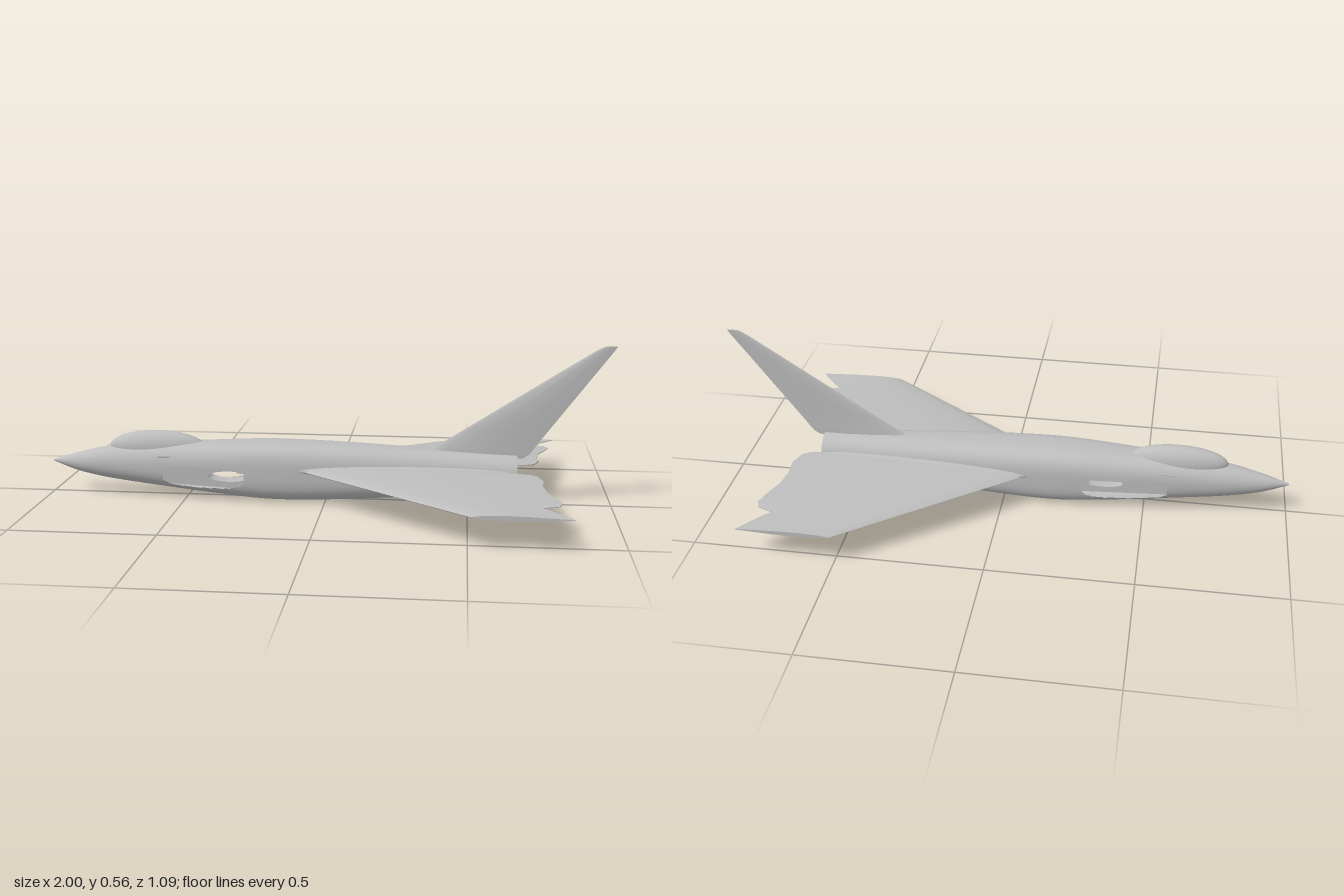
import * as THREE from 'three';
import { toCreasedNormals } from 'three/addons/utils/BufferGeometryUtils.js';

const greyMetal = new THREE.MeshStandardMaterial({ color: 0xbdbdbd, side: THREE.DoubleSide });
greyMetal.name = 'greyMetal';

// Joins closed cross-section rings into a skin; skip() leaves openings
function loft(rings, { caps = false, skip = () => false } = {}) {
  const n = rings[0].length;
  const points = rings.flat();
  const index = [];
  for (let i = 0; i < rings.length - 1; i++) {
    for (let j = 0; j < n; j++) {
      const a = i * n + j, b = i * n + ((j + 1) % n), c = a + n, d = b + n;
      const centre = points[a].clone().add(points[d]).multiplyScalar(0.5);
      if (!skip(centre)) index.push(a, c, b, b, c, d);
    }
  }
  if (caps) {
    const last = (rings.length - 1) * n;
    for (let j = 1; j < n - 1; j++) {
      index.push(0, j, j + 1, last, last + j + 1, last + j);
    }
  }
  const geometry = new THREE.BufferGeometry().setFromPoints(points);
  geometry.setIndex(index);
  geometry.computeVertexNormals();
  return geometry;
}

// Lens-shaped section: fractions along the chord and half thickness
const FOIL = [[0, 0], [0.02, 0.3], [0.1, 0.7], [0.3, 1], [0.6, 0.8], [1, 0.12]];
const foilLoop = [...FOIL, ...FOIL.slice(1).reverse().map(([u, t]) => [u, -t])];

// Each station: span, leading x, trailing x, half thickness
function blade(stations, place) {
  const rings = stations.map(([span, lead, trail, half]) =>
    foilLoop.map(([u, t]) => place(lead + u * (trail - lead), span, t * half)));
  return toCreasedNormals(loft(rings, { caps: true }), 0.6);
}

// Fuselage skin from stations: x, bottom, top, half width, squareness
function fuselageGeometry() {
  const stations = [
    [-1, 0.112, 0.118, 0.003, 2],
    [-0.9, 0.078, 0.148, 0.032, 2],
    [-0.78, 0.055, 0.174, 0.053, 2.1],
    [-0.6, 0.035, 0.19, 0.071, 2.4],
    [-0.4, 0.016, 0.201, 0.088, 2.8],
    [-0.2, 0.002, 0.208, 0.099, 3.1],
    [0, 0.005, 0.205, 0.098, 3],
    [0.2, 0.015, 0.198, 0.09, 2.7],
    [0.45, 0.03, 0.186, 0.077, 2.3],
    [0.67, 0.042, 0.175, 0.065, 2],
  ];
  const heights = new THREE.CatmullRomCurve3(
    stations.map(([x, low, high]) => new THREE.Vector3(x, low, high)), false, 'catmullrom');
  const widths = new THREE.CatmullRomCurve3(
    stations.map(([x, , , half, power]) => new THREE.Vector3(x, half, power)), false, 'catmullrom');
  const power = (v, p) => Math.sign(v) * Math.abs(v) ** (2 / p);
  const lengthSteps = 220, sides = 96, rings = [];
  for (let i = 0; i <= lengthSteps; i++) {
    const { x, y: low, z: high } = heights.getPoint(i / lengthSteps);
    const { y: half, z: p } = widths.getPoint(i / lengthSteps);
    const ring = [];
    for (let j = 0; j < sides; j++) {
      const a = (j / sides) * Math.PI * 2;
      ring.push(new THREE.Vector3(
        x,
        (low + high) / 2 + power(Math.sin(a), p) * (high - low) / 2,
        -power(Math.cos(a), p) * half));
    }
    rings.push(ring);
  }
  // Rounded air intake opening on each side
  const inIntake = (c) =>
    Math.abs((c.x + 0.43) / 0.15) ** 2.8 + Math.abs((c.y - 0.085) / 0.04) ** 2.8 < 1;
  return loft(rings, { skip: inIntake });
}

export function createModel() {
  const model = new THREE.Group();
  model.name = 'jetAircraft';
  const add = (name, geometry) => {
    const mesh = new THREE.Mesh(geometry, greyMetal);
    mesh.name = name;
    model.add(mesh);
    return mesh;
  };

  add('fuselage', fuselageGeometry());

  const canopy = add('canopy', new THREE.SphereGeometry(1, 40, 24));
  canopy.scale.set(0.175, 0.06, 0.045);
  canopy.position.set(-0.61, 0.175, 0);

  // Wall between the intakes, with a see-through gap at its rear
  const wall = new THREE.Shape();
  wall.moveTo(-0.62, 0.05).lineTo(-0.24, 0.03).lineTo(-0.24, 0.15).lineTo(-0.62, 0.15).closePath();
  const gap = new THREE.Path();
  gap.absellipse(-0.35, 0.077, 0.072, 0.019, 0, Math.PI * 2);
  wall.holes.push(gap);
  const wallGeometry = new THREE.ExtrudeGeometry(wall, { depth: 0.06, bevelEnabled: false, curveSegments: 20 });
  add('intakeWall', wallGeometry.translate(0, 0, -0.03));

  // Exhaust: a lip narrowing to a recessed end
  const exhaust = new THREE.LatheGeometry(
    [[0.065, 0.67], [0.056, 0.655], [0.05, 0.6], [0.043, 0.54], [0, 0.54]]
      .map(([r, h]) => new THREE.Vector2(r, h)), 40);
  add('exhaust', toCreasedNormals(exhaust.rotateZ(-Math.PI / 2), 0.6)).position.y = 0.1085;

  // Wings: straight swept leading edge, scalloped trailing edge (z, x)
  const trailing = [
    [0.03, 0.66], [0.063, 0.67], [0.07, 0.71], [0.085, 0.735], [0.14, 0.755], [0.2, 0.75],
    [0.27, 0.76], [0.33, 0.785], [0.385, 0.802], [0.415, 0.79], [0.435, 0.738],
    [0.46, 0.762], [0.5, 0.795], [0.545, 0.83],
  ];
  const wingStations = trailing.map(([z, x]) => [
    z,
    -0.08 + (z - 0.1) * (0.59 / 0.445),
    x,
    0.021 - z * 0.023,
  ]);
  for (const [name, side] of [['leftWing', 1], ['rightWing', -1]]) {
    add(name, blade(wingStations, (x, z, t) =>
      new THREE.Vector3(x, 0.125 - z * 0.033 + t, side * z)));
  }

  // Slim fairing along each wing root and a small rail below the canopy
  for (const side of [1, -1]) {
    const fairing = add('wingRootFairing', new THREE.SphereGeometry(1, 24, 12));
    fairing.scale.set(0.38, 0.022, 0.02);
    fairing.position.set(0.29, 0.122, side * 0.084);
    fairing.rotation.y = side * 0.055;

    const rail = add('noseRail', new THREE.CapsuleGeometry(0.003, 0.1, 4, 8));
    rail.rotation.set(0, side * 0.09, Math.PI / 2);
    rail.position.set(-0.545, 0.155, side * 0.066);
  }

  // Swept tail fin
  add('tailFin', blade([
    [0.165, 0.33, 0.69, 0.012],
    [0.178, 0.35, 0.71, 0.012],
    [0.2, 0.385, 0.727, 0.009],
    [0.26, 0.478, 0.771, 0.007],
    [0.55, 0.926, 0.988, 0.003],
    [0.565, 0.955, 0.998, 0.002],
  ], (x, y, t) => new THREE.Vector3(x, y, t)));

  return model;
}
